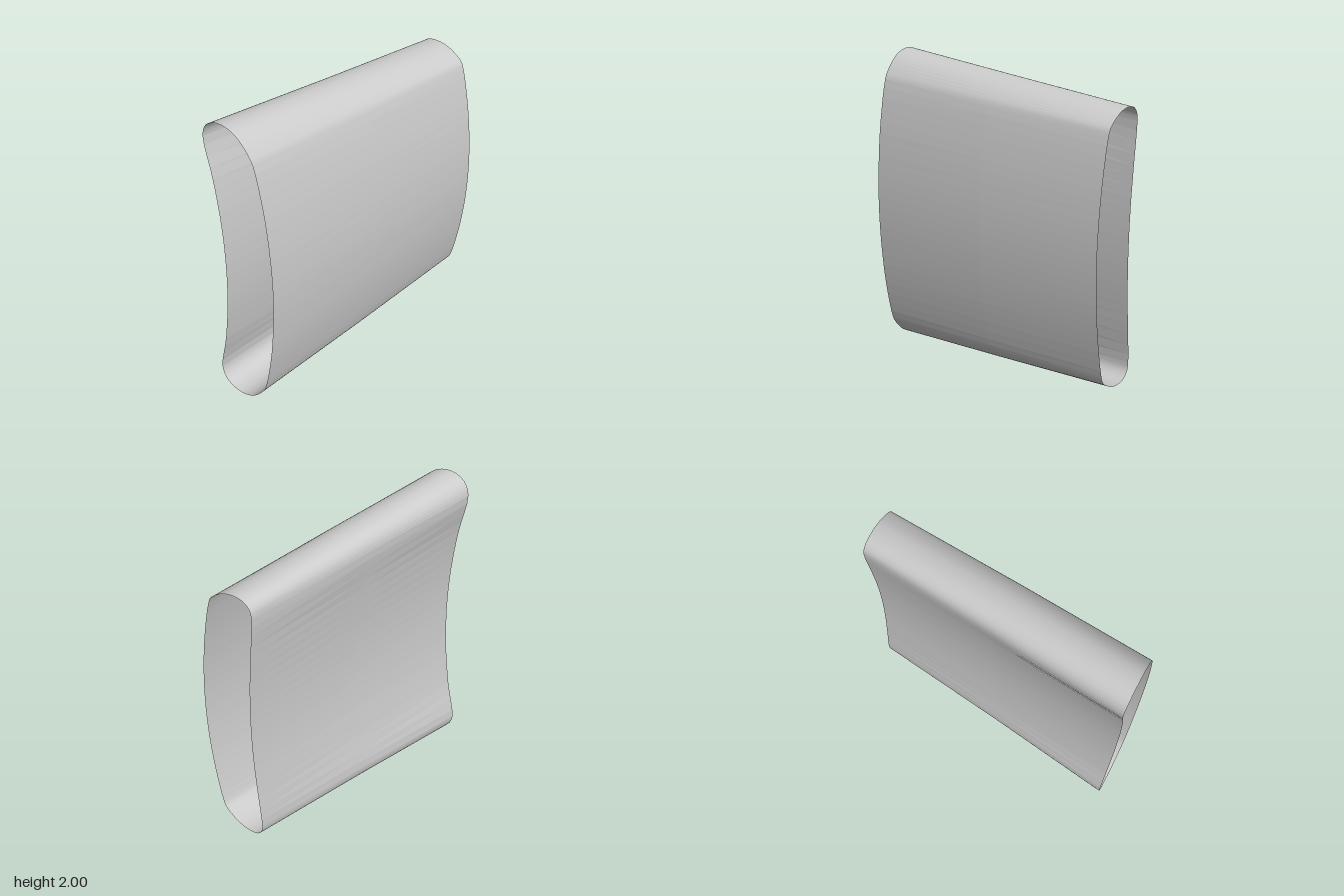
import * as THREE from 'three';

// Half profiles [z, height above the middle], from the front face over the top to the back
const LEFT_END = [
  [0.315, 0], [0.304, 0.25], [0.272, 0.5], [0.223, 0.73], [0.203, 0.777], [0.15, 0.82], [0.08, 0.853],
  [0.0, 0.863], [-0.06, 0.85], [-0.095, 0.815], [-0.105, 0.76], [-0.082, 0.5], [-0.062, 0.25], [-0.055, 0],
];
const RIGHT_END = [
  [0.165, 0], [0.153, 0.28], [0.12, 0.56], [0.06, 0.83], [0.035, 0.875], [-0.03, 0.948], [-0.09, 0.985],
  [-0.165, 1.0], [-0.24, 0.985], [-0.29, 0.945], [-0.315, 0.87], [-0.262, 0.6], [-0.223, 0.3], [-0.21, 0],
];
const HALF_LENGTH = 0.875;
const AROUND = 104;
const ALONG = 2;

// Mirrors a half profile about mid height and samples the closed curve
function ring(half) {
  const lower = half.slice(1, -1).reverse().map(([z, h]) => [z, -h]);
  const points = [...half, ...lower].map(([z, h]) => new THREE.Vector3(0, 1 + h, z));
  const curve = new THREE.CatmullRomCurve3(points, true, 'centripetal');
  return Array.from({ length: AROUND }, (_, i) => curve.getPoint(i / AROUND));
}

// Open sleeve lofted between the two end profiles, with a very slight forward bow
function sleeveGeometry() {
  const right = ring(RIGHT_END);
  const left = ring(LEFT_END);
  const positions = [];
  const index = [];
  for (let i = 0; i <= ALONG; i++) {
    const t = i / ALONG;
    for (let j = 0; j < AROUND; j++) {
      const p = right[j].clone().lerp(left[j], t);
      positions.push((2 * t - 1) * HALF_LENGTH, p.y, p.z + 0.005 * Math.sin(Math.PI * t));
    }
  }
  for (let i = 0; i < ALONG; i++) {
    for (let j = 0; j < AROUND; j++) {
      const k = (j + 1) % AROUND;
      const a = i * AROUND + j, b = a + AROUND;
      const c = i * AROUND + k, d = c + AROUND;
      index.push(a, b, d, a, d, c);
    }
  }
  const geometry = new THREE.BufferGeometry();
  geometry.setAttribute('position', new THREE.Float32BufferAttribute(positions, 3));
  geometry.setIndex(index);
  geometry.computeVertexNormals();
  return geometry;
}

export function createModel() {
  const group = new THREE.Group();
  group.name = 'taperedSleeve';
  const material = new THREE.MeshStandardMaterial({
    color: 0xcccccc, flatShading: true, side: THREE.DoubleSide,
  });
  const shell = new THREE.Mesh(sleeveGeometry(), material);
  shell.name = 'sleeveShell';
  group.add(shell);
  return group;
}
